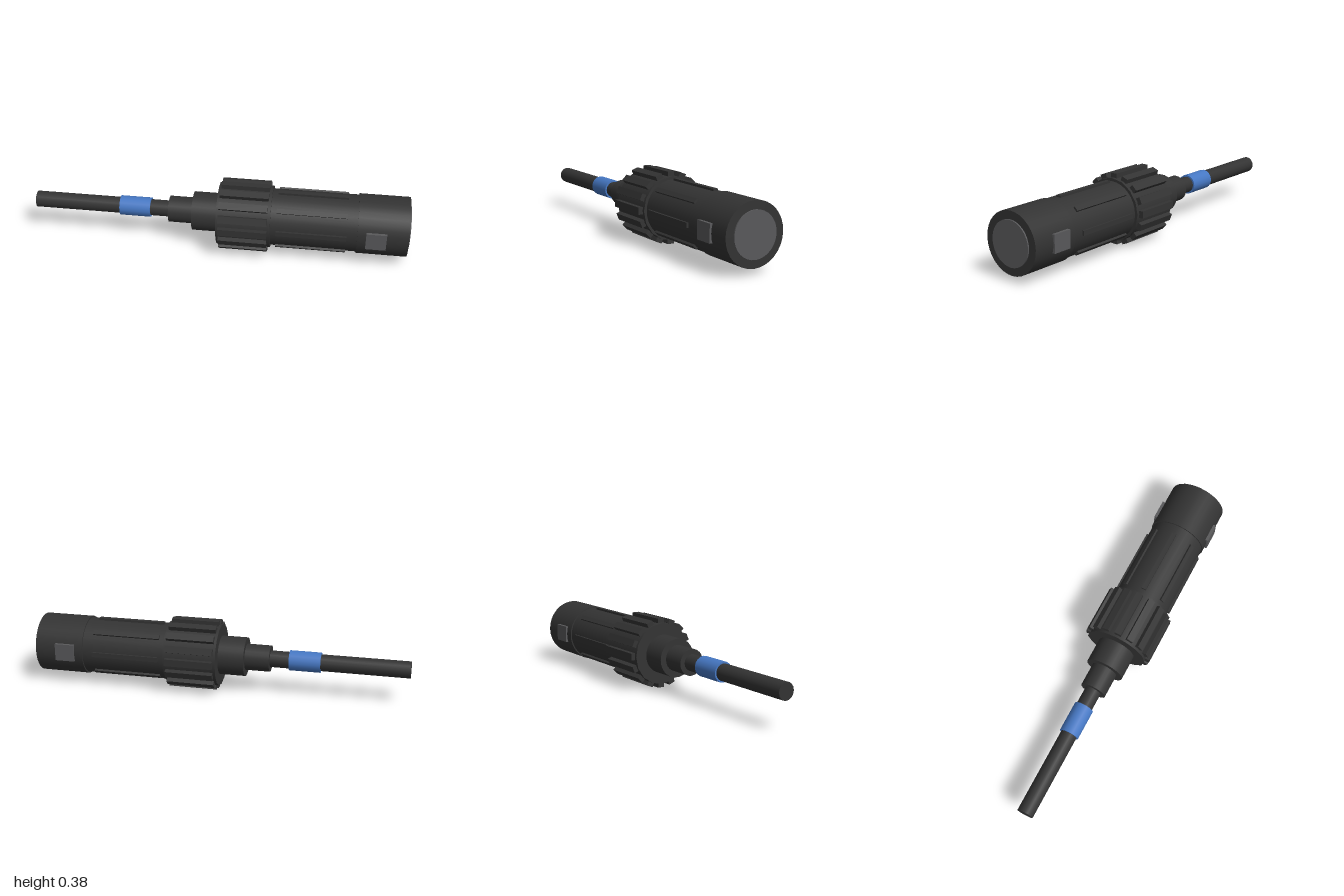
import * as THREE from 'three';

export function createModel() {
  const model = new THREE.Group();
  model.name = 'cableConnector';
  const axisY = 0.188;

  const makeMat = (name, color) => {
    const m = new THREE.MeshStandardMaterial({ color });
    m.name = name;
    return m;
  };
  const black = makeMat('blackPlastic', 0x333333);
  const grey = makeMat('greyPlastic', 0x59595b);
  const blue = makeMat('blueBand', 0x4678c4);

  // Round section lying along x, from x0 to x1
  function section(name, x0, x1, radius, sides, mat) {
    const geo = new THREE.CylinderGeometry(radius, radius, x1 - x0, sides);
    geo.rotateZ(-Math.PI / 2);
    const mesh = new THREE.Mesh(geo, mat);
    mesh.name = name;
    mesh.position.set((x0 + x1) / 2, axisY, 0);
    model.add(mesh);
  }

  // Ring of raised grip bars around the x axis
  function ribs(name, count, x0, x1, inner, outer, width) {
    const group = new THREE.Group();
    group.name = name;
    group.position.y = axisY;
    const geo = new THREE.BoxGeometry(x1 - x0, outer - inner, width);
    geo.translate((x0 + x1) / 2, (inner + outer) / 2, 0);
    for (let i = 0; i < count; i++) {
      const rib = new THREE.Mesh(geo, black);
      rib.name = 'rib';
      rib.rotation.x = (i / count) * Math.PI * 2;
      group.add(rib);
    }
    model.add(group);
  }

  // Cable, marker band and stepped strain relief
  section('cable', -1, -0.2, 0.044, 16, black);
  section('markerBand', -0.537, -0.371, 0.053, 16, blue);
  section('strainReliefSmall', -0.27, -0.13, 0.07, 24, black);
  section('strainReliefLarge', -0.14, 0.01, 0.103, 32, black);

  // Coupling nut
  section('couplingNut', -0.003, 0.28, 0.166, 16, black);
  ribs('couplingNutRibs', 16, 0.01, 0.265, 0.164, 0.188, 0.037);

  // Main barrel
  section('barrel', 0.27, 0.74, 0.15, 32, black);
  ribs('barrelRibs', 8, 0.31, 0.675, 0.14, 0.16, 0.025);

  // Front head with its end disc
  section('head', 0.73, 0.993, 0.157, 32, black);
  section('endDisc', 0.98, 1, 0.115, 32, grey);

  // Square latch windows on both sides
  for (const side of [1, -1]) {
    const latch = new THREE.Mesh(new THREE.BoxGeometry(0.105, 0.092, 0.02), grey);
    latch.name = side > 0 ? 'frontLatch' : 'backLatch';
    latch.position.set(0.827, axisY, side * 0.155);
    model.add(latch);
  }
  return model;
}
